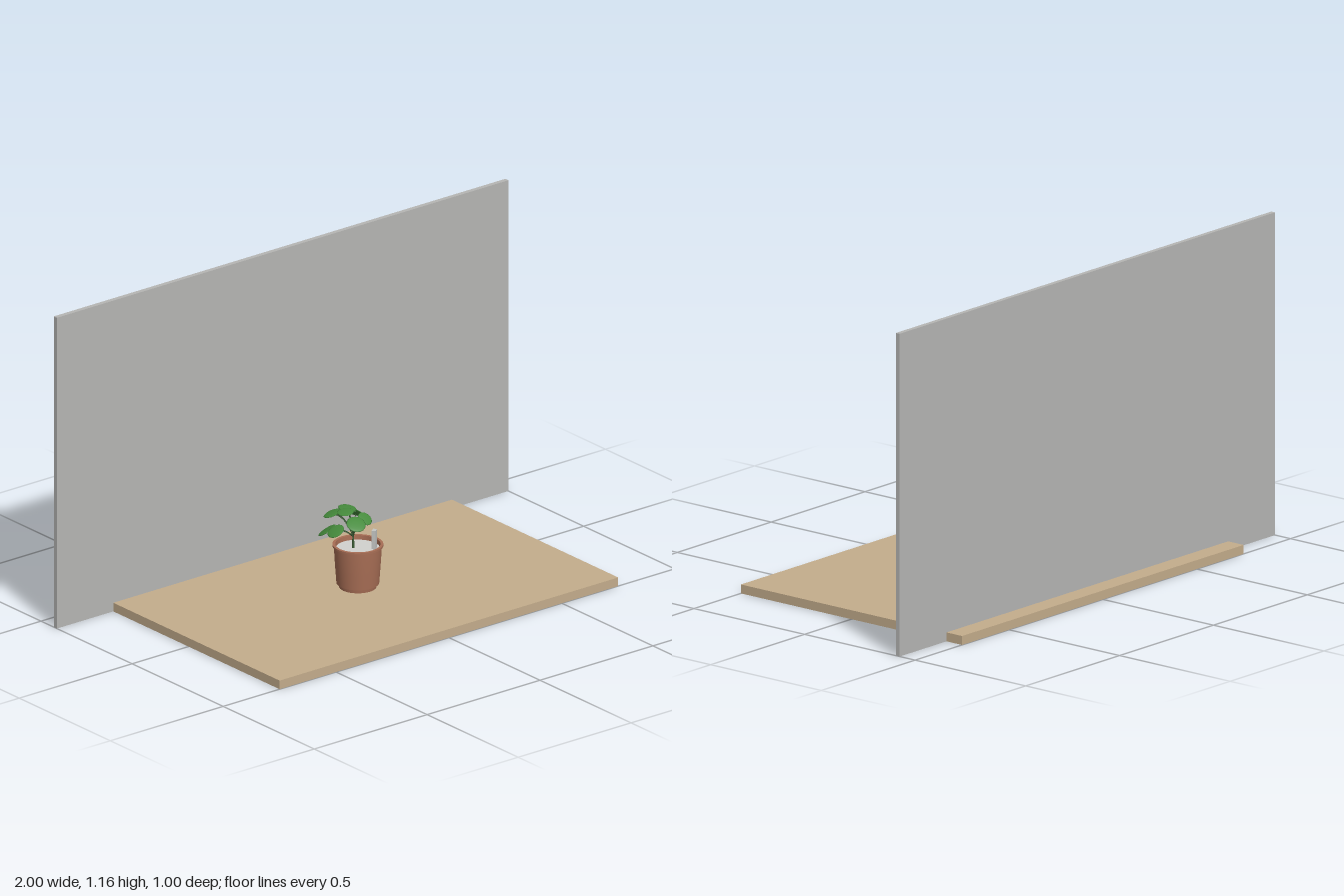
import * as THREE from 'three';

const mat = (name, color, side = THREE.FrontSide) => {
  const m = new THREE.MeshStandardMaterial({ color, side });
  m.name = name;
  return m;
};

export function createModel() {
  const model = new THREE.Group();
  const wood = mat('wood', 0xc4ad8c);
  const grey = mat('wall grey', 0xb6b6b4);
  const clay = mat('terracotta', 0xa86e55, THREE.DoubleSide);
  const pebble = mat('pale soil', 0xd2d2ce);
  const plastic = mat('marker grey', 0xc4c6c4);
  const leafGreen = mat('leaf green', 0x458a3c);
  const stemGreen = mat('stem green', 0x3a5c34);

  const add = (name, geometry, material, parent = model) => {
    const mesh = new THREE.Mesh(geometry, material);
    mesh.name = name;
    parent.add(mesh);
    return mesh;
  };

  // Table board and wall panel crossing its back edge
  add('board', new THREE.BoxGeometry(1.5, 0.032, 1), wood).position.y = 0.016;
  add('wall', new THREE.BoxGeometry(2, 1.157, 0.017), grey).position.set(0, 0.5785, -0.4215);

  // Pot: stepped foot, tapered body, narrow rim and hollow inside
  const creased = [
    [[0, 0.0325], [0.065, 0.0325]],
    [[0.065, 0.0325], [0.067, 0.047]],
    [[0.067, 0.047], [0.074, 0.047]],
    [[0.074, 0.047], [0.078, 0.1], [0.081, 0.145], [0.0825, 0.182]],
    [[0.0825, 0.182], [0.088, 0.184]],
    [[0.088, 0.184], [0.088, 0.191]],
    [[0.088, 0.191], [0.078, 0.191]],
    [[0.078, 0.191], [0.076, 0.165]],
  ];
  const pot = new THREE.Group();
  pot.name = 'pot';
  model.add(pot);
  creased.forEach((pts, i) => add(`potBand${i + 1}`,
    new THREE.LatheGeometry(pts.map(p => new THREE.Vector2(...p)), 40), clay, pot));
  add('soil', new THREE.CylinderGeometry(0.077, 0.074, 0.02, 40), pebble).position.y = 0.165;

  // Upright marker in the soil
  const marker = add('marker', new THREE.BoxGeometry(0.021, 0.08, 0.014), plastic);
  marker.position.set(0.043, 0.203, 0.037);
  marker.rotation.y = 0.65;

  // Plant
  const plant = new THREE.Group();
  plant.name = 'plant';
  model.add(plant);
  const root = new THREE.Vector3(-0.01, 0.17, -0.013);
  const fork = new THREE.Vector3(-0.01, 0.215, -0.013);
  const trunk = add('trunk', new THREE.CylinderGeometry(0.003, 0.005, 0.05, 10), stemGreen, plant);
  trunk.position.copy(root).lerp(fork, 0.5);

  // Each leaf: centre, surface direction, radius
  const leaves = [
    [[-0.056, 0.324, 0.002], [-0.15, 1, 0.05], 0.029],
    [[-0.050, 0.292, 0.052], [-0.2, 1, 0.55], 0.034],
    [[0.003, 0.294, 0.035], [0.1, 1, 0.8], 0.027],
    [[-0.075, 0.308, -0.048], [-0.3, 1, -0.25], 0.032],
    [[-0.088, 0.256, -0.012], [-0.6, 1, 0], 0.031],
    [[-0.077, 0.237, -0.074], [-0.4, 1, -0.5], 0.035],
    [[-0.033, 0.282, -0.088], [-0.1, 1, -0.4], 0.034],
    [[0.003, 0.303, -0.062], [0.1, 1, 0.1], 0.032],
    [[0.056, 0.265, -0.080], [0.6, 1, -0.3], 0.038],
    [[0.047, 0.275, -0.034], [1.1, 1, 0], 0.031],
  ];
  const up = new THREE.Vector3(0, 1, 0);
  const leafGeometry = new THREE.SphereGeometry(1, 18, 8).scale(1, 0.13, 1);
  leaves.forEach(([centre, facing, radius], i) => {
    const tip = new THREE.Vector3(...centre);
    const leaf = add(`leaf${i + 1}`, leafGeometry, leafGreen, plant);
    leaf.position.copy(tip);
    leaf.scale.setScalar(radius);
    leaf.quaternion.setFromUnitVectors(up, new THREE.Vector3(...facing).normalize());

    // Arching stalk from the trunk to the underside of the leaf
    const bend = fork.clone().lerp(tip, 0.4);
    bend.y = Math.max(tip.y, 0.25);
    const path = new THREE.QuadraticBezierCurve3(fork, bend, tip);
    add(`stalk${i + 1}`, new THREE.TubeGeometry(path, 10, 0.0018, 6), stemGreen, plant);
  });

  return model;
}
